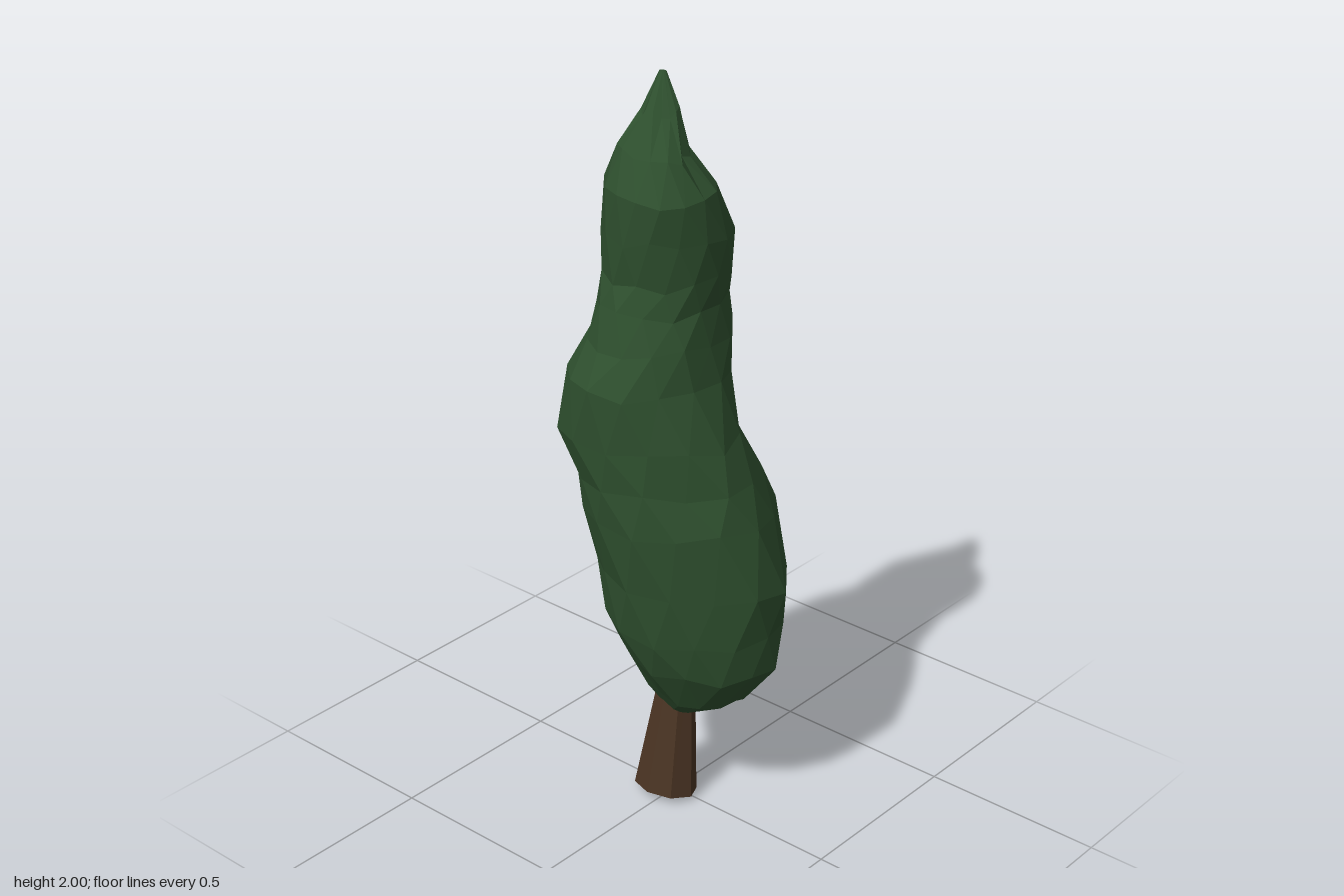
import * as THREE from 'three';

// small repeatable noise in -1..1
function seeded(seed) {
  return () => {
    seed = (seed * 16807) % 2147483647;
    return (seed / 2147483647) * 2 - 1;
  };
}

// Skin over oval rings [y, xMin, xMax, zMin, zMax, pinch]; pinch flattens the
// diagonals and skews the oval. Odd rings are turned by `turn` of a side, and
// adjust(point, ringIndex, centre) may move each corner.
function loft(rings, sides, turn, adjust) {
  const positions = [], index = [];
  rings.forEach(([y, x0, x1, z0, z1, pinch = 0], i) => {
    const centre = new THREE.Vector3((x0 + x1) / 2, y, (z0 + z1) / 2);
    for (let j = 0; j < sides; j++) {
      const a = ((j + (i % 2) * turn) / sides) * Math.PI * 2;
      const r = (1 - pinch * Math.sin(2 * a) ** 2) / 2;
      const p = new THREE.Vector3(
        centre.x + Math.cos(a) * r * (x1 - x0), y,
        centre.z + Math.sin(a + pinch) * r * (z1 - z0));
      adjust(p, i, centre);
      positions.push(p.x, p.y, p.z);
    }
  });
  const last = rings.length - 1;
  for (let i = 0; i < last; i++) {
    for (let j = 0; j < sides; j++) {
      const k = (j + 1) % sides;
      const a = i * sides + j, b = i * sides + k;
      const c = a + sides, d = b + sides;
      if (i % 2) index.push(a, c, d, a, d, b);
      else index.push(a, c, b, b, c, d);
    }
  }
  // end caps
  for (let j = 1; j < sides - 1; j++) {
    const t = last * sides;
    index.push(0, j, j + 1, t, t + j + 1, t + j);
  }
  const geometry = new THREE.BufferGeometry();
  geometry.setAttribute('position', new THREE.Float32BufferAttribute(positions, 3));
  geometry.setIndex(index);
  const flat = geometry.toNonIndexed();
  flat.computeVertexNormals();
  return flat;
}

export function createModel() {
  const group = new THREE.Group();
  const leafGreen = new THREE.MeshStandardMaterial({ color: 0x2e4f2e, flatShading: true });
  leafGreen.name = 'leafGreen';
  const barkBrown = new THREE.MeshStandardMaterial({ color: 0x4a3423, flatShading: true });
  barkBrown.name = 'barkBrown';

  // foliage: lumpy column with a waist and a bent tip
  const crown = [
    [0.27, -0.03, 0.05, -0.03, 0.07],
    [0.33, -0.08, 0.13, -0.10, 0.19],
    [0.45, -0.145, 0.205, -0.17, 0.28, 0.03],
    [0.56, -0.185, 0.235, -0.21, 0.29, 0.05],
    [0.70, -0.205, 0.255, -0.23, 0.305, 0.06],
    [0.88, -0.235, 0.242, -0.245, 0.27, 0.06],
    [0.98, -0.235, 0.21, -0.265, 0.235, 0.06],
    [1.09, -0.255, 0.17, -0.30, 0.20, 0.06],
    [1.25, -0.25, 0.172, -0.25, 0.145, 0.03],
    [1.35, -0.205, 0.175, -0.20, 0.13],
    [1.43, -0.17, 0.17, -0.19, 0.12],
    [1.51, -0.15, 0.165, -0.19, 0.13],
    [1.62, -0.16, 0.16, -0.18, 0.135],
    [1.73, -0.165, 0.09, -0.15, 0.125],
    [1.82, -0.12, 0.035, -0.125, 0.08],
    [1.91, -0.055, 0.022, -0.08, 0.02],
    [2.00, -0.003, 0.012, -0.05, -0.03],
  ];
  const noise = seeded(77);
  const foliage = new THREE.Mesh(loft(crown, 14, 0.5, (p, i, centre) => {
    if (i === crown.length - 1) return;
    const swell = 1.01 + noise() * 0.025;
    p.x = centre.x + (p.x - centre.x) * swell;
    p.z = centre.z + (p.z - centre.z) * swell;
    if (i > 0) p.y += noise() * 0.015;
    // hollow in the front of the tip
    if (i === 14 && p.x > -0.03) p.z = Math.min(p.z, 0.045);
  }), leafGreen);
  foliage.name = 'foliage';
  group.add(foliage);

  // trunk: tapered, cut at a slight slant at the foot
  const stem = [
    [0, -0.095, 0.055, -0.105, 0.075],
    [0.42, -0.02, 0.055, -0.04, 0.045],
  ];
  const trunk = new THREE.Mesh(loft(stem, 8, 0, (p, i) => {
    if (i === 0) p.y = 0.01 - p.x * 0.18;
  }), barkBrown);
  trunk.name = 'trunk';
  group.add(trunk);

  return group;
}
